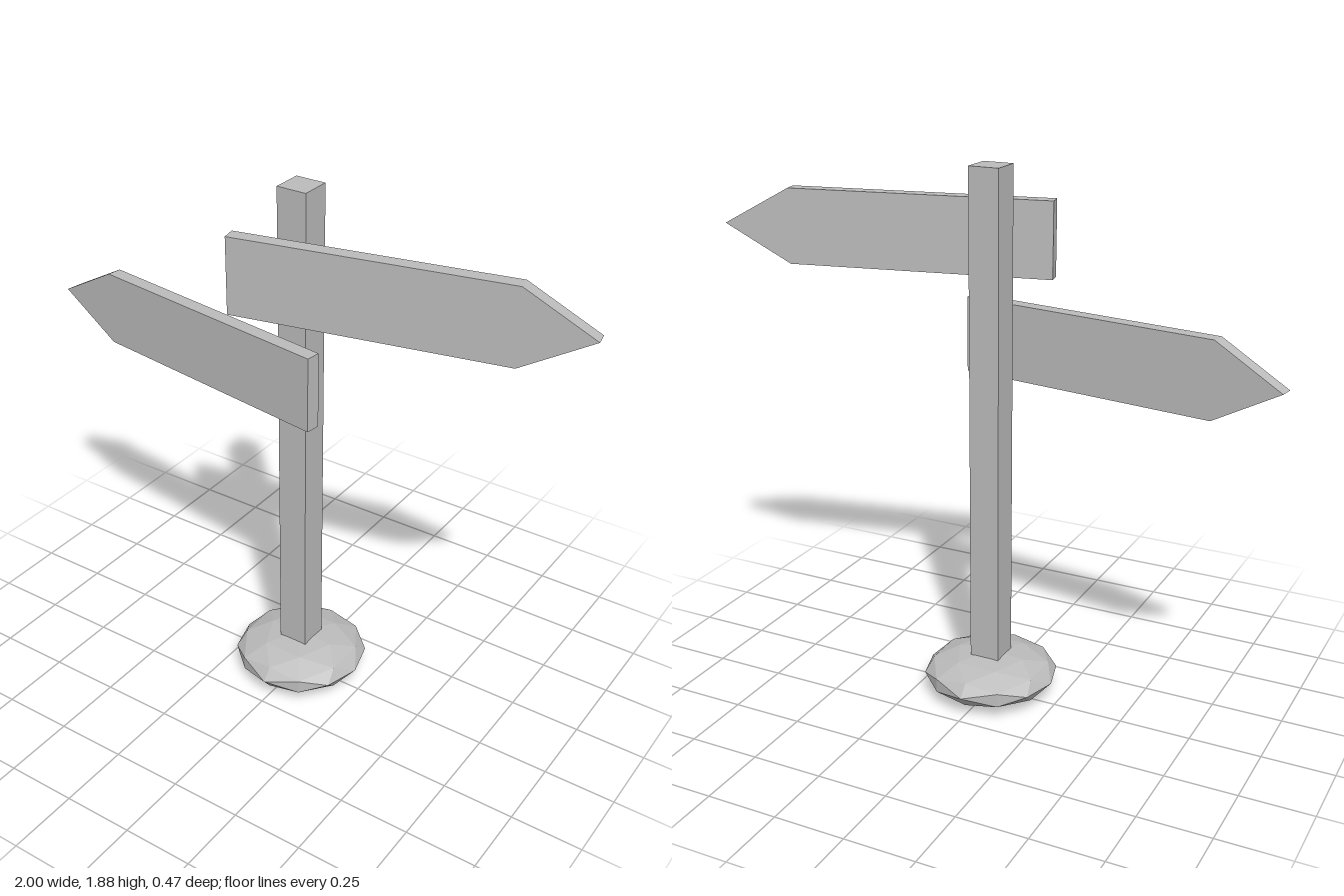
import * as THREE from 'three';

const grey = new THREE.MeshStandardMaterial({ name: 'grey', color: 0xbcbcbc, flatShading: true });

// Pointed board, centred on its own origin, with its tip toward +x
function createBoard(name, x, y, z, turn) {
  const half = 0.58, high = 0.131, shoulder = 0.345, thick = 0.05;
  const outline = new THREE.Shape([
    new THREE.Vector2(-half, -high),
    new THREE.Vector2(shoulder, -high),
    new THREE.Vector2(half, 0),
    new THREE.Vector2(shoulder, high),
    new THREE.Vector2(-half, high),
  ]);
  const geometry = new THREE.ExtrudeGeometry(outline, { depth: thick, bevelEnabled: false });
  geometry.translate(0, 0, -thick / 2);
  const board = new THREE.Mesh(geometry, grey);
  board.name = name;
  board.position.set(x, y, z);
  board.rotation.y = turn;
  return board;
}

export function createModel() {
  const model = new THREE.Group();
  model.name = 'signpost';

  // Squashed faceted stone at the foot
  const base = new THREE.Mesh(new THREE.IcosahedronGeometry(1, 1), grey);
  base.name = 'baseStone';
  base.scale.set(0.236, 0.08, 0.236);
  base.position.y = 0.08;
  model.add(base);

  // Square post rising from inside the stone
  const top = 1.88, bottom = 0.06;
  const post = new THREE.Mesh(new THREE.BoxGeometry(0.107, top - bottom, 0.107), grey);
  post.name = 'post';
  post.position.y = (top + bottom) / 2;
  model.add(post);

  // Two arrow boards pointing opposite ways, each swept back at its tip
  model.add(createBoard('upperBoard', 0.425, 1.619, 0.067, 0.203));
  model.add(createBoard('lowerBoard', -0.423, 1.273, 0.073, Math.PI - 0.143));

  return model;
}
